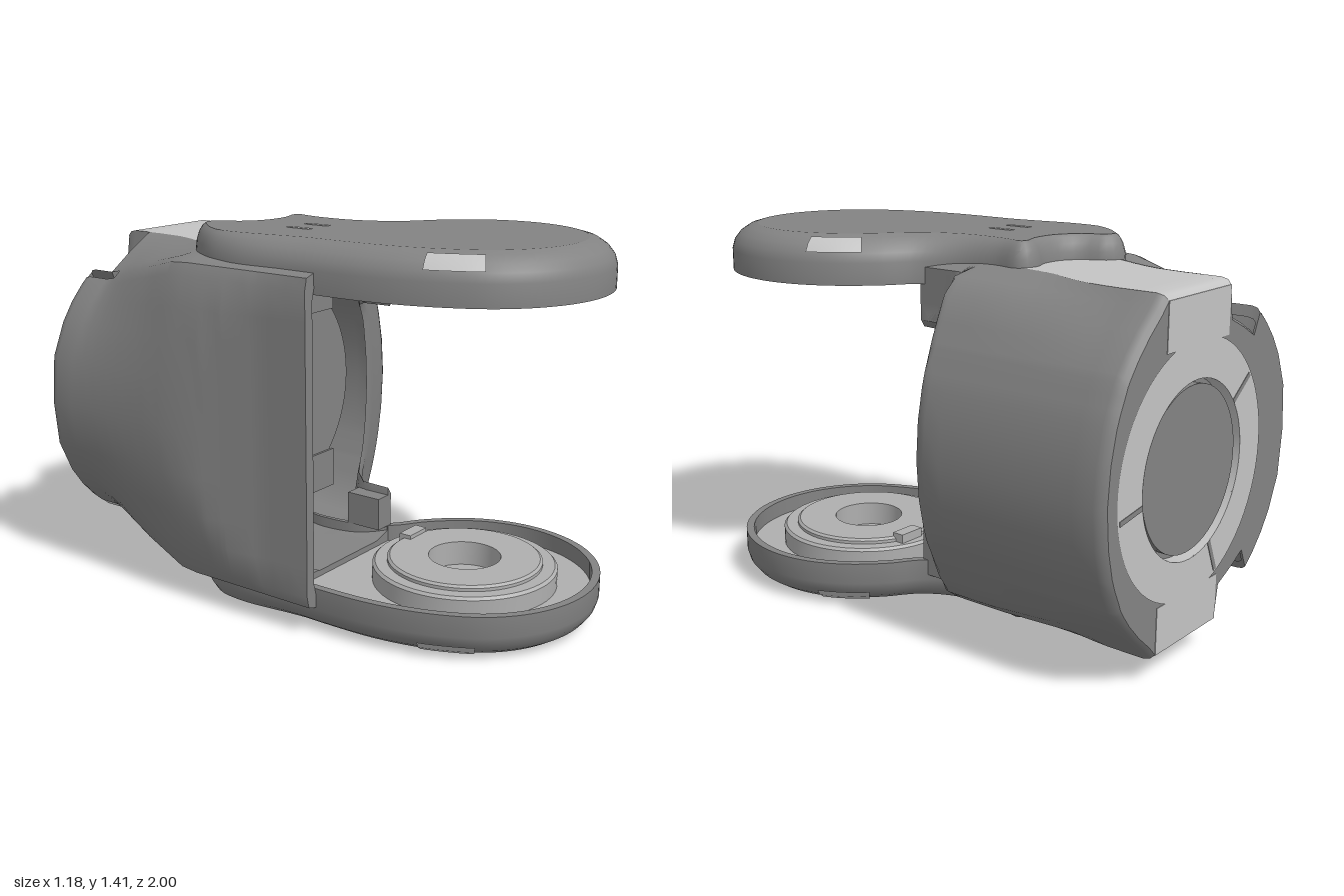
import * as THREE from 'three';
import { toCreasedNormals } from 'three/addons/utils/BufferGeometryUtils.js';

const CY = 0.705; // the model is mirrored above and below this height

function material(name, color) {
  const m = new THREE.MeshStandardMaterial({ color, side: THREE.DoubleSide });
  m.name = name;
  return m;
}

// piecewise linear lookup in [[key, value], ...]
function lookup(table, k) {
  if (k <= table[0][0]) return table[0][1];
  for (let i = 1; i < table.length; i++) {
    const [a, va] = table[i - 1], [b, vb] = table[i];
    if (k <= b) return va + (vb - va) * (k - a) / (b - a);
  }
  return table[table.length - 1][1];
}

// surface through rows of Vector3; keep(j, i) filters the quads
function loft(rows, closed, keep = () => true, crease = 0.7) {
  const pos = [], n = rows[0].length;
  for (let j = 0; j + 1 < rows.length; j++) {
    for (let i = 0; i < (closed ? n : n - 1); i++) {
      if (!keep(j, i)) continue;
      const k = (i + 1) % n;
      const a = rows[j][i], b = rows[j][k], c = rows[j + 1][k], d = rows[j + 1][i];
      for (const t of [[a, b, c], [a, c, d]]) {
        if (t[0].distanceTo(t[1]) < 1e-6 || t[1].distanceTo(t[2]) < 1e-6 || t[2].distanceTo(t[0]) < 1e-6) continue;
        t.forEach(v => pos.push(v.x, v.y, v.z));
      }
    }
  }
  const g = new THREE.BufferGeometry();
  g.setAttribute('position', new THREE.Float32BufferAttribute(pos, 3));
  return toCreasedNormals(g, crease);
}

export function createModel() {
  const root = new THREE.Group();
  const dark = material('darkGrey', 0x838383);
  const mid = material('middleGrey', 0xafafaf);
  const light = material('lightGrey', 0xc4c4c4);
  const add = (name, geo, mat, parent = root) => {
    const m = new THREE.Mesh(geo, mat);
    m.name = name;
    parent.add(m);
    return m;
  };
  const box = (name, mat, x0, x1, y0, y1, z0, z1, parent = root) => add(name,
    new THREE.BoxGeometry(x1 - x0, y1 - y0, z1 - z0)
      .translate((x0 + x1) / 2, (y0 + y1) / 2, (z0 + z1) / 2), mat, parent);

  // ---- housing: cross-section (x, height from the middle), right to left over the top
  const half = [[0.59, 0], [0.577, 0.14], [0.55, 0.25], [0.53, 0.3], [0.51, 0.34], [0.495, 0.375], [0.485, 0.394],
    [0.483, 0.397], [0.45, 0.46], [0.395, 0.54], [0.32, 0.59], [0.27, 0.615], [0.17, 0.615], [0.07, 0.615],
    [-0.03, 0.615], [-0.13, 0.615], [-0.15, 0.613], [-0.26, 0.612], [-0.38, 0.611], [-0.44, 0.607], [-0.49, 0.592],
    [-0.515, 0.55], [-0.54, 0.44], [-0.56, 0.33], [-0.58, 0.18], [-0.59, 0]];
  const section = [...half, ...half.slice(1, -1).reverse().map(([x, h]) => [x, -h])];
  const rightLimit = [[-0.27, 0.59], [-0.23, 0.575], [-0.2, 0.53], [-0.18, 0.46], [-0.165, 0.4], [-0.14, 0.34],
    [-0.11, 0.3], [-0.06, 0.265], [0, 0.245], [0.05, 0.235]];
  const leftLimit = [[-0.4, -0.59], [-0.3, -0.575], [-0.15, -0.54], [0, -0.51], [0.2, -0.5]];
  const bandShift = [[-0.8, 0], [-0.7, -0.012], [-0.62, -0.035], [-0.5, -0.09], [-0.35, -0.12]];
  const rearRadius = [[-0.32, 0.6], [-0.15, 0.63], [0.3, 0.655], [0.5, 0.62]];
  const frontEdge = ([x, h]) => {
    if (x < -0.42) return 0.2;
    const a = Math.abs(h);
    if (x < 0 || a > 0.395) return 0.05;
    const t = Math.max(0, (a - 0.3) / 0.095); // rounded corner of the side cut-out
    return -0.16 + 0.1 * (1 - Math.sqrt(1 - t * t));
  };
  const stations = [-1, -0.985, -0.96, -0.88, -0.87, -0.82, -0.76, -0.7, -0.64, -0.57, -0.5, -0.42, -0.34,
    -0.27, -0.245, -0.23, -0.215, -0.2, -0.19, -0.18, -0.17, -0.16, -0.15, -0.14, -0.125, -0.11, -0.09, -0.06,
    -0.03, 0, 0.05, 0.12, 0.2];
  const housingPoint = (p, station, inner) => {
    const z = Math.min(station, frontEdge(p));
    let [x, h] = p;
    const band = Math.abs(h) > 0.614;
    if (band || x === -0.15) x += lookup(bandShift, z);
    if (!band) { // the rear end is round, the front end squarer
      const k = Math.min(1, lookup(rearRadius, p[0]) / Math.hypot(p[0], h));
      const s = lookup([[-0.85, k], [-0.65, (k + 1) / 2], [-0.4, 1]], z);
      x *= s;
      h *= s;
    }
    const neck = lookup(rightLimit, z) * (1 - 0.9 * h * h);
    x = Math.max(lookup(leftLimit, z), z < -0.27 ? x : Math.min(Math.max(0.235, neck), x));
    if (z < -0.875 && p[0] < -0.14 && p[0] > -0.39 && Math.abs(p[1]) > 0.6) h *= 0.8; // rear pocket
    const round = lookup([[-1, 0.965], [-0.985, 0.99], [-0.96, 1]], z);
    return new THREE.Vector3(x * round * (inner ? 0.92 : 1), CY + h * round * (inner ? 0.93 : 1), z);
  };
  const skin = inner => stations.map(s => section.map(p => housingPoint(p, s, inner)));
  const rows = [...skin(false), ...skin(true).reverse()];
  const fold = j => Math.min(j, rows.length - 2 - j);
  const mirrorIndex = i => (i < half.length - 1 ? i : section.length - 1 - i);
  const isSlot = (j, i) => mirrorIndex(i) === 19 && fold(j) < 5;
  const isBand = (j, i) => mirrorIndex(i) >= 11 && mirrorIndex(i) <= 14 && fold(j) < 12;
  add('housingShell', loft(rows, true, (j, i) => !isSlot(j, i) && !isBand(j, i)), dark);
  add('housingBand', loft(rows, true, isBand), light);

  // ---- rear face with its recessed disc and light ring
  const RX = 0.07;
  const rear = new THREE.Shape(rows[0].map(v => new THREE.Vector2(v.x, v.y)));
  rear.holes.push(new THREE.Path().absarc(RX, CY, 0.31, 0, Math.PI * 2, true));
  add('rearPlate', new THREE.ShapeGeometry(rear, 48).translate(0, 0, -1), dark);
  add('rearRing', new THREE.RingGeometry(0.31, 0.45, 64).rotateY(Math.PI).translate(RX, CY, -1.003), light);
  for (const s of [1, -1]) {
    const y = CY + s * 0.51;
    box('rearColumn', light, -0.125, 0.262, y - 0.085, y + 0.083, -1.002, -0.997);
  }
  add('rearRecessWall', new THREE.CylinderGeometry(0.31, 0.31, 0.06, 64, 1, true)
    .rotateX(Math.PI / 2).translate(RX, CY, -0.974), light);
  add('rearDisc', new THREE.CylinderGeometry(0.29, 0.29, 0.03, 64)
    .rotateX(Math.PI / 2).translate(RX, CY, -0.975), dark);
  for (const a of [-0.15, 2.5, 4.3]) {
    const slit = add('ringSlit', new THREE.BoxGeometry(0.13, 0.018, 0.004), dark);
    slit.position.set(RX + Math.cos(a) * 0.375, CY + Math.sin(a) * 0.375, -1.003);
    slit.rotation.z = a;
  }

  // ---- inner drum with its front plate
  add('innerDrum', new THREE.CylinderGeometry(0.455, 0.455, 0.63, 72)
    .rotateX(Math.PI / 2).translate(-0.02, 0.715, -0.635), dark);
  box('sideBlock', dark, -0.49, -0.37, 0.3, 1.11, -0.45, -0.3);

  // ---- details repeated above and below the middle
  for (const s of [1, -1]) {
    const span = (name, mat, x0, x1, h0, h1, z0, z1) => box(name, mat, x0, x1,
      CY + Math.min(s * h0, s * h1), CY + Math.max(s * h0, s * h1), z0, z1);
    span('sideBracket', dark, -0.46, -0.28, 0.27, 0.53, -0.34, -0.29);
    span('platePanel', dark, 0.04, 0.33, 0.3, 0.46, -0.322, -0.31);
    span('neckTab', dark, 0.15, 0.235, 0.4, 0.53, -0.1, 0.05);
    add('crossPin', new THREE.CylinderGeometry(0.048, 0.048, 0.3, 32)
      .rotateZ(Math.PI / 2).translate(-0.27, CY + s * 0.47, -0.29), dark);
    add('screwRim', new THREE.TorusGeometry(0.034, 0.007, 10, 32).translate(-0.21, CY + s * 0.285, -0.318), dark);
    add('screwCore', new THREE.CylinderGeometry(0.018, 0.018, 0.008, 24)
      .rotateX(Math.PI / 2).translate(-0.21, CY + s * 0.285, -0.317), dark);
  }

  // ---- arms: outline (x, z) of the cup
  const ctrl = [[-0.45, 0.25], [-0.45, 0.05], [-0.45, -0.18], [-0.42, -0.31], [-0.34, -0.43], [-0.25, -0.5], [-0.18, -0.475],
    [-0.13, -0.39], [-0.07, -0.35], [0.02, -0.345], [0.1, -0.37], [0.16, -0.34], [0.157, -0.22], [0.18, -0.07],
    [0.25, 0.045], [0.36, 0.125]];
  for (let k = 0; k <= 10; k++) {
    const a = -0.6 + k * 0.31;
    ctrl.push([0.08 + 0.477 * Math.cos(a), 0.52 + 0.477 * Math.sin(a)]);
  }
  ctrl.push([-0.375, 0.67], [-0.42, 0.53], [-0.443, 0.39]);
  const curve = new THREE.CatmullRomCurve3(ctrl.map(([x, z]) => new THREE.Vector3(x, 0, z)), true);
  const N = 140;
  const outline = curve.getSpacedPoints(N).slice(0, N);
  const inward = outline.map((p, i) => {
    const t = outline[(i + 1) % N].clone().sub(outline[(i + N - 1) % N]).normalize();
    return new THREE.Vector3(-t.z, 0, t.x);
  });
  const ring = (inset, y) => outline.map((p, i) => {
    const f = lookup([[-0.3, 0.4], [0.1, 1]], p.z);
    return p.clone().addScaledVector(inward[i], inset * f).setY(y);
  });
  const BX = 0.07, BZ = 0.5; // bearing axis
  const capGeometry = (inset, y, holeRadius = 0) => {
    const shape = new THREE.Shape(ring(inset, 0).map(v => new THREE.Vector2(v.x, -v.z)));
    if (holeRadius) shape.holes.push(new THREE.Path().absarc(BX, -BZ, holeRadius, 0, Math.PI * 2, true));
    return new THREE.ShapeGeometry(shape, 32).rotateX(-Math.PI / 2).translate(0, y, 0);
  };

  for (const upper of [false, true]) {
    const arm = new THREE.Group();
    arm.name = upper ? 'upperArm' : 'lowerArm';
    const Y = y => (upper ? 2 * CY - y : y);
    const floor = upper ? 0.14 : 0.11;
    const profile = [[0.1, 0.002], [0.065, 0.012], [0.032, 0.034], [0.01, 0.062], [0, 0.095], [0, 0.175], [0.03, 0.175], [0.03, floor]];
    add('armShell', loft(profile.map(([d, y]) => ring(d, Y(y))), true), dark, arm);
    add('armOuterFace', capGeometry(0.1, Y(0.002)), dark, arm);

    // windows in the rounded edge
    for (const [side, z0, z1] of [[1, 0.17, 0.36], [-1, 0.57, 0.79]]) {
      const ids = outline.map((p, i) => i).filter(i =>
        outline[i].x * side > 0.2 && outline[i].z > z0 && outline[i].z < z1);
      const strip = [[0.058, 0.01], [0.028, 0.03], [0.006, 0.058]].map(([d, y]) => {
        const r = ring(d, Y(y));
        return ids.map(i => r[i]);
      });
      add('edgeWindow', loft(strip, false), light, arm);
    }
    // paired slits in the outer face
    for (const x of [-0.185, -0.08]) box('armSlit', light, x - 0.012, x + 0.012, Y(0.002) - 0.002, Y(0.002) + 0.002, -0.12, -0.02, arm);

    if (upper) {
      // flat inner floor with a round recess
      add('armInnerFloor', capGeometry(0.03, Y(floor), 0.22), mid, arm);
      add('recessWall', new THREE.CylinderGeometry(0.22, 0.22, 0.08, 64, 1, true).translate(BX, Y(0.1), BZ), mid, arm);
      add('recessEnd', new THREE.CircleGeometry(0.22, 64).rotateX(Math.PI / 2).translate(BX, Y(0.06), BZ), dark, arm);
    } else {
      // inner floor with a raised bearing boss
      add('armInnerFloor', capGeometry(0.03, floor), mid, arm);
      const boss = [[0.135, 0.112], [0.135, 0.205], [0.28, 0.205], [0.29, 0.197], [0.29, 0.185], [0.335, 0.185], [0.345, 0.175], [0.345, 0.11]];
      const lathe = new THREE.LatheGeometry(boss.map(([r, y]) => new THREE.Vector2(r, y)), 64);
      add('bearingBoss', toCreasedNormals(lathe, 0.4).translate(BX, 0, BZ), mid, arm);
      box('bossKey', mid, 0.08, 0.19, 0.18, 0.22, 0.2, 0.25, arm);
    }
    root.add(arm);
  }
  return root;
}
